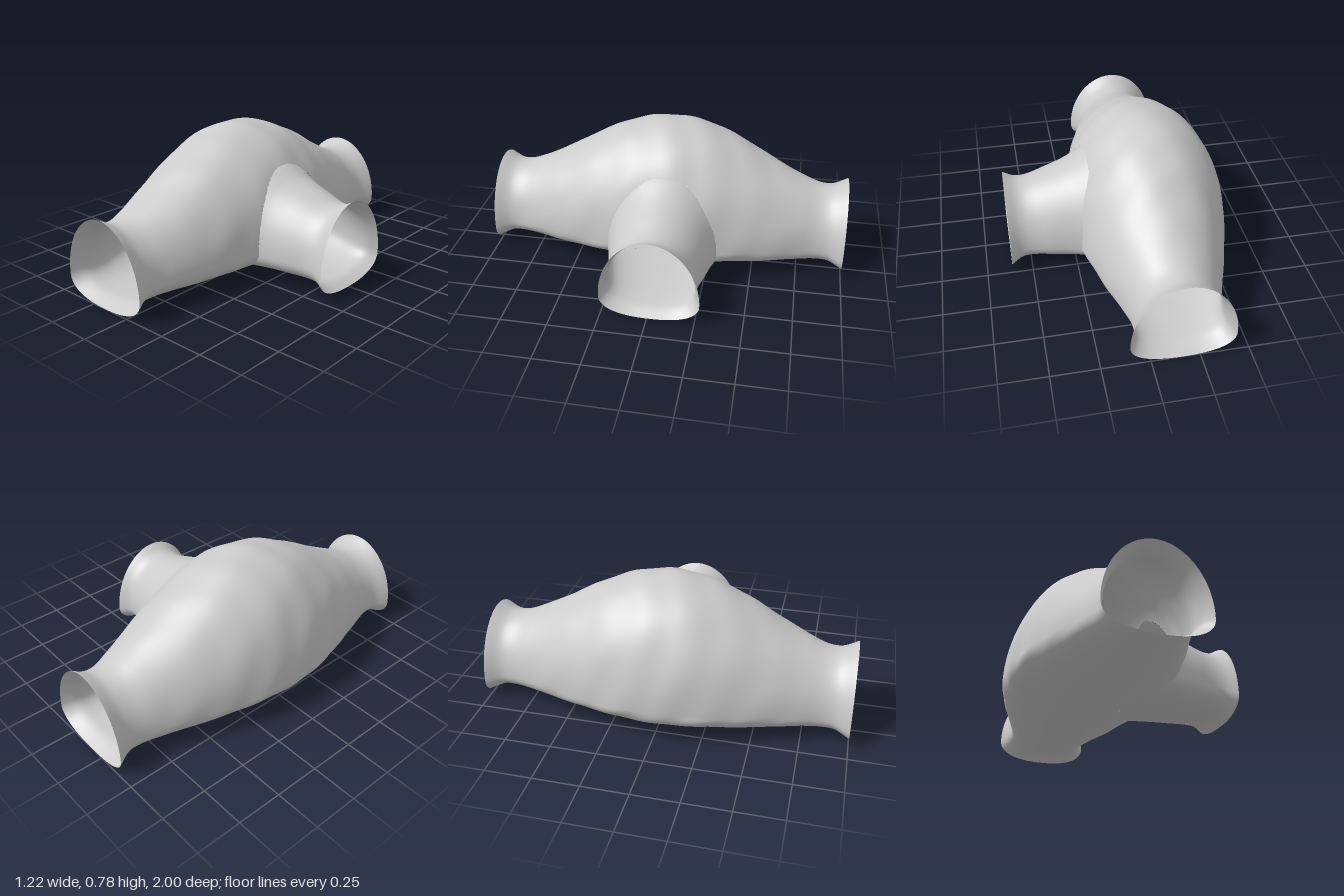
import * as THREE from 'three';

// Smooth profile along a tunnel: rows of [t, centre, halfWidth, bottom, widestY, top]
function profile(rows) {
  const curve = new THREE.CubicInterpolant(rows.map(r => r[0]), rows.flatMap(r => r.slice(1)), 5);
  return t => {
    const [c, w, bot, mid, top] = curve.evaluate(t);
    return { c, w, bot, mid, top };
  };
}

// Main passage runs along z and swells into a chamber in the middle
const half = [
  [0, -0.17, 0.44, 0.036, 0.19, 0.778],
  [0.2, -0.17, 0.423, 0.036, 0.19, 0.745],
  [0.4, -0.167, 0.375, 0.037, 0.18, 0.66],
  [0.6, -0.162, 0.315, 0.038, 0.17, 0.55],
  [0.75, -0.162, 0.262, 0.04, 0.16, 0.475],
  [0.85, -0.163, 0.234, 0.04, 0.15, 0.438],
  [0.92, -0.163, 0.234, 0.036, 0.145, 0.437],
  [1, -0.163, 0.268, 0.003, 0.125, 0.475],
];
const mainAt = profile([...half.slice(1).reverse().map(([t, ...r]) => [-t, ...r]), ...half]);

// Side passage runs along x
const sideAt = profile([
  [-0.2, -0.01, 0.44, 0.046, 0.18, 0.72],
  [0.15, -0.01, 0.335, 0.046, 0.17, 0.585],
  [0.25, -0.01, 0.296, 0.045, 0.165, 0.528],
  [0.38, -0.01, 0.262, 0.043, 0.16, 0.478],
  [0.5, -0.008, 0.235, 0.04, 0.15, 0.442],
  [0.55, -0.008, 0.238, 0.034, 0.145, 0.444],
  [0.612, -0.01, 0.265, 0.003, 0.125, 0.475],
]);

// Domed above the widest line, flatter below it
const power = v => (v >= 0 ? 1.97 : 2.4);
const norm = (u, v) => Math.pow(Math.abs(u) ** power(v) + Math.abs(v) ** power(v), 1 / power(v));

// Gentle unevenness of the rock, fading out at the mouths
const ripple = (a, t) => 1 + 0.005 * Math.max(0, 1 - t * t) *
  (Math.sin(27 * t + 3 * Math.sin(2 * a)) + 0.7 * Math.sin(9 * a + 11 * t));

// Point of a cross-section as [across, height]
function sectionPoint(p, a, scale = 1) {
  const u = Math.cos(a), v = Math.sin(a), k = scale / norm(u, v);
  return [p.c + u * k * p.w, p.mid + v * k * (v >= 0 ? p.top - p.mid : p.mid - p.bot)];
}

// Relative distance from the section's middle; below 1 is inside
function level(p, across, y) {
  const u = (across - p.c) / p.w;
  const v = (y - p.mid) / (y >= p.mid ? p.top - p.mid : p.mid - p.bot);
  return { d: norm(u, v), a: Math.atan2(v, u) };
}

const insideMain = (x, y, z) => {
  const { d, a } = level(mainAt(z), x, y);
  return d < ripple(a, z);
};
const insideSide = (x, y, z) => x > -0.1 && level(sideAt(Math.min(x, 0.6)), z, y).d < 1;

// Open tube from rings of points, leaving out faces that the skip rule picks
function tube(name, rings, sides, pointAt, skip = () => false) {
  const pos = [], all = [], kept = [];
  for (let j = 0; j <= rings; j++)
    for (let i = 0; i < sides; i++) pos.push(...pointAt((i / sides) * Math.PI * 2, j / rings));
  for (let j = 0; j < rings; j++)
    for (let i = 0; i < sides; i++) {
      const a = j * sides + i, b = j * sides + (i + 1) % sides;
      all.push([a, b, a + sides], [b, b + sides, a + sides]);
    }
  for (const f of all) {
    const mid = [0, 1, 2].map(k => f.reduce((s, n) => s + pos[n * 3 + k], 0) / 3);
    if (!skip(...mid)) kept.push(...f);
  }
  const geometry = new THREE.BufferGeometry();
  geometry.setAttribute('position', new THREE.Float32BufferAttribute(pos, 3));
  geometry.setIndex(all.flat());
  geometry.computeVertexNormals();
  geometry.setIndex(kept);
  const mesh = new THREE.Mesh(geometry,
    new THREE.MeshStandardMaterial({ color: 0xcccccc, roughness: 0.9, side: THREE.DoubleSide }));
  mesh.name = name;
  return mesh;
}

export function createModel() {
  const group = new THREE.Group();
  group.name = 'tunnelJunction';

  // Main passage with the doorway to the side passage left open
  group.add(tube('mainPassage', 200, 180, (a, s) => {
    const t = s * 2 - 1;
    const [x, y] = sectionPoint(mainAt(t), a, ripple(a, t));
    return [x, y, t];
  }, insideSide));

  // Side passage, each line starting where it leaves the main wall
  const sidePoint = (a, x) => {
    const [across, y] = sectionPoint(sideAt(x), Math.PI - a);
    return [x, y, across];
  };
  const starts = new Map();
  const startOf = a => {
    if (!starts.has(a)) {
      let lo = -0.1, hi = 0.4;
      for (let n = 0; n < 24; n++) {
        const m = (lo + hi) / 2;
        if (insideMain(...sidePoint(a, m))) lo = m; else hi = m;
      }
      starts.set(a, lo - 0.004);
    }
    return starts.get(a);
  };
  group.add(tube('sidePassage', 40, 120, (a, s) => sidePoint(a, THREE.MathUtils.lerp(startOf(a), 0.612, s))));

  return group;
}
